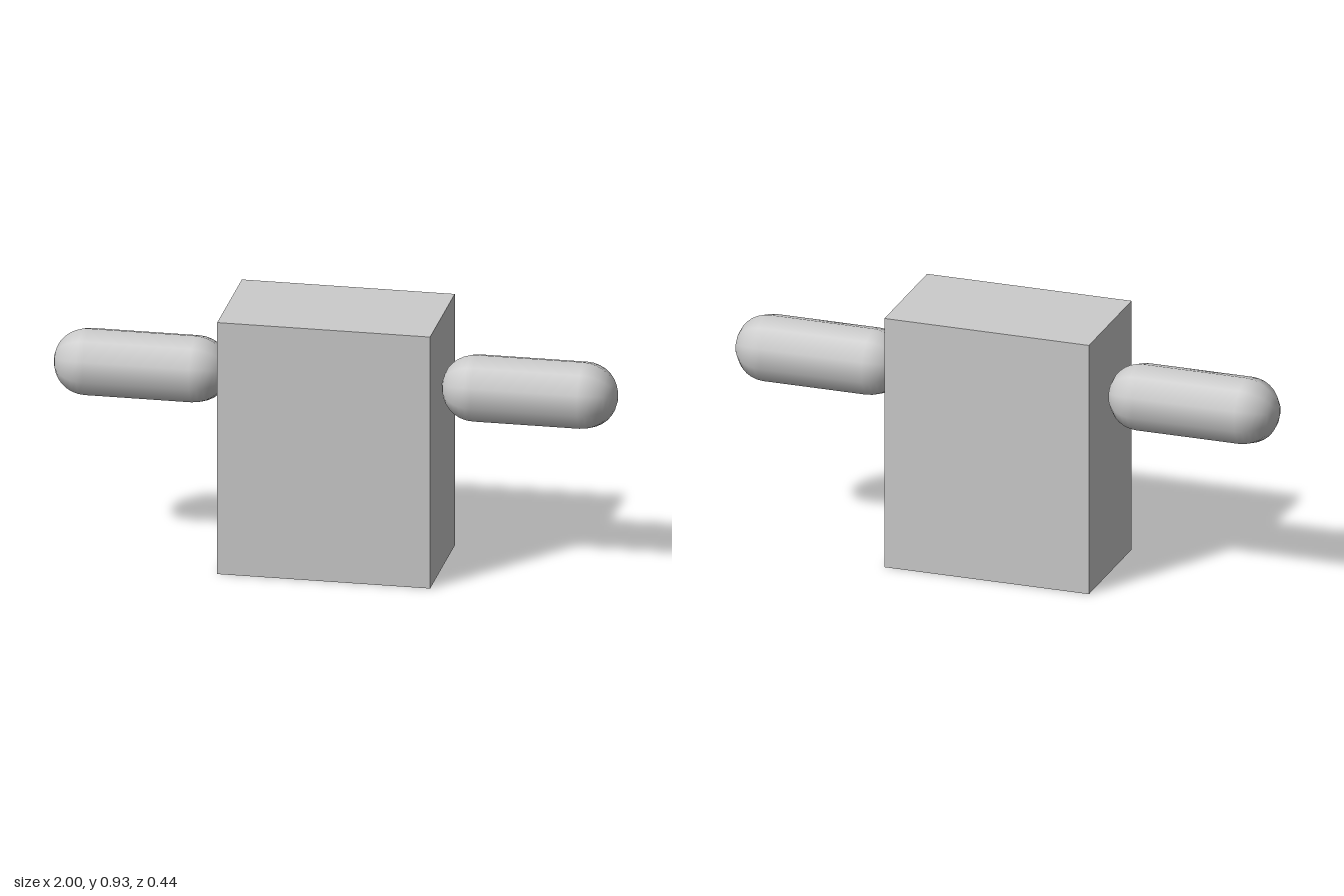
import * as THREE from 'three';

export function createModel() {
  const group = new THREE.Group();
  const material = new THREE.MeshStandardMaterial({ color: 0xcccccc });

  // Block-shaped body standing on the ground
  const height = 0.933;
  const body = new THREE.Mesh(new THREE.BoxGeometry(0.756, height, 0.444), material);
  body.name = 'body';
  body.position.y = height / 2;
  group.add(body);

  // Capsule arms reaching straight out from the sides
  const radius = 0.122;
  const length = 0.622;
  const armGeometry = new THREE.CapsuleGeometry(radius, length - 2 * radius, 8, 10);
  armGeometry.rotateZ(Math.PI / 2);
  for (const [name, side] of [['leftArm', 1], ['rightArm', -1]]) {
    const arm = new THREE.Mesh(armGeometry, material);
    arm.name = name;
    arm.position.set(side * (1 - length / 2), 0.673, 0);
    group.add(arm);
  }

  return group;
}
